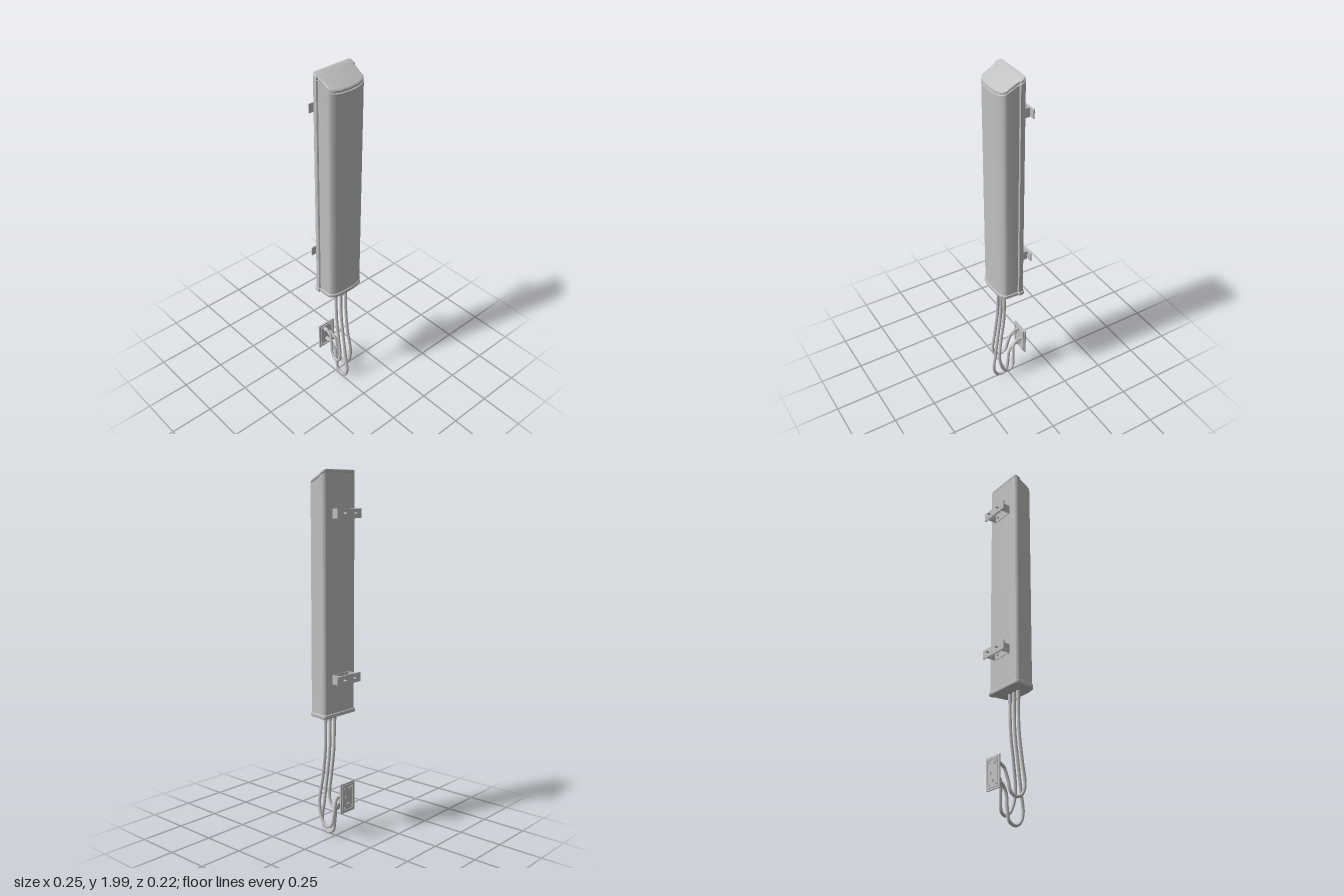
import * as THREE from 'three';
import { toCreasedNormals } from 'three/addons/utils/BufferGeometryUtils.js';

const SLOPE = 0.5, BACK = -0.034;

// D-shaped cross-section with a wider back tray; "grow" widens it all round
function outline(grow) {
  const g = grow, s = new THREE.Shape();
  const half = 0.121 + g, front = 0.113 + g, back = BACK + 0.002 - g, nose = 0.102 + g;
  // shape y is -z
  s.moveTo(0, -nose);
  s.quadraticCurveTo(0.05, -nose, 0.078, -nose + 0.008);
  s.quadraticCurveTo(front - 0.006, -nose + 0.016, front - 0.003, -0.068);
  s.lineTo(front, -0.004);
  s.lineTo(half, 0);
  s.lineTo(half, -back - 0.02);
  s.quadraticCurveTo(half, -back, half - 0.02, -back);
  s.lineTo(-half + 0.02, -back);
  s.quadraticCurveTo(-half, -back, -half, -back - 0.02);
  s.lineTo(-half, 0);
  s.lineTo(-front, -0.004);
  s.lineTo(-front + 0.003, -0.068);
  s.quadraticCurveTo(-front + 0.006, -nose + 0.016, -0.078, -nose + 0.008);
  s.quadraticCurveTo(-0.05, -nose, 0, -nose);
  return s;
}

// Upright prism of the cross-section; vertices above shearFrom follow the sloped top
function prism(grow, y0, y1, bevel, shearFrom) {
  const geo = new THREE.ExtrudeGeometry(outline(grow), {
    depth: y1 - y0 - 2 * bevel, curveSegments: 8,
    bevelEnabled: bevel > 0, bevelSize: bevel, bevelThickness: bevel, bevelOffset: -bevel, bevelSegments: 3,
  });
  geo.rotateX(-Math.PI / 2).translate(0, y0 + bevel, 0);
  const p = geo.attributes.position;
  for (let i = 0; i < p.count; i++)
    if (p.getY(i) > shearFrom) p.setY(i, p.getY(i) - SLOPE * (p.getZ(i) - BACK));
  return toCreasedNormals(geo, 0.6);
}

export function createModel() {
  const grey = new THREE.MeshStandardMaterial({ color: 0xc0c0c0 });
  grey.name = 'light grey';
  const model = new THREE.Group();
  model.name = 'panelAntenna';

  const add = (parent, name, geo, x = 0, y = 0, z = 0) => {
    const m = new THREE.Mesh(geo, grey);
    m.name = name;
    m.position.set(x, y, z);
    parent.add(m);
    return m;
  };
  const box = (parent, name, w, h, d, x, y, z) => add(parent, name, new THREE.BoxGeometry(w, h, d), x, y, z);
  const rod = (parent, name, r, len, x, y, z, sides = 16) =>
    add(parent, name, new THREE.CylinderGeometry(r, r, len, sides).rotateX(Math.PI / 2), x, y, z);

  // Housing with sloped top and bottom rim
  add(model, 'housing', prism(0, 0.715, 1.98, 0, 1.5));
  add(model, 'topCap', prism(-0.001, 1.98, 2.0, 0.008, 1.5));
  add(model, 'bottomCap', prism(0.005, 0.7, 0.722, 0.004, 9));

  // Two mounting brackets on the back
  for (const y of [1.775, 0.91]) {
    const bracket = new THREE.Group();
    bracket.name = 'mountBracket';
    bracket.position.y = y;
    model.add(bracket);
    for (const s of [-1, 1]) {
      box(bracket, 'bracketSide', 0.003, 0.05, 0.05, s * 0.063, 0, -0.059);
      rod(bracket, 'bodyBolt', 0.009, 0.008, s * 0.04, 0, -0.04, 6);
      rod(bracket, 'clampBolt', 0.005, 0.034, s * 0.04, 0, -0.096);
    }
    box(bracket, 'bracketBase', 0.129, 0.05, 0.003, 0, 0, -0.0355);
    box(bracket, 'bracketFace', 0.129, 0.05, 0.003, 0, 0, -0.0835);
    box(bracket, 'clampPlate', 0.184, 0.05, 0.006, 0, 0, -0.092);
  }

  // Cable plate: base sheet, raised rim, screws
  const plate = new THREE.Group();
  plate.name = 'cablePlate';
  plate.position.set(0.002, 0.25, 0);
  model.add(plate);
  box(plate, 'plateSheet', 0.112, 0.168, 0.008, 0, 0, -0.086);
  const rim = new THREE.Shape([[-0.046, -0.075], [0.046, -0.075], [0.046, 0.075], [-0.046, 0.075]]
    .map(([x, y]) => new THREE.Vector2(x, y)));
  rim.holes.push(new THREE.Path([[-0.038, -0.067], [-0.038, 0.067], [0.038, 0.067], [0.038, -0.067]]
    .map(([x, y]) => new THREE.Vector2(x, y))));
  const rimGeo = new THREE.ExtrudeGeometry(rim, { depth: 0.006, bevelEnabled: false });
  add(plate, 'frontRim', rimGeo, 0, 0, -0.082);
  add(plate, 'backRim', rimGeo, 0, 0, -0.094);
  for (const sx of [-1, 1]) for (const sy of [-1, 1])
    rod(plate, 'plateScrew', 0.005, 0.016, sx * 0.03, sy * 0.057, -0.086, 12);

  // Three looping cables: top x, then points down and round to the plate
  const cables = [
    [-0.035, [[-0.036, 0.2, 0.08], [-0.033, 0.155, 0.06], [-0.03, 0.145, 0.025], [-0.026, 0.165, 0],
      [-0.02, 0.23, -0.015], [-0.015, 0.285, -0.035], [-0.015, 0.3, -0.06]]],
    [0, [[0.002, 0.18, 0.085], [0.004, 0.075, 0.098], [0.005, 0.025, 0.08], [0.006, 0.01, 0.05],
      [0.006, 0.028, 0.015], [0.006, 0.09, 0.002], [0.004, 0.17, -0.008], [0.001, 0.207, -0.035], [0, 0.213, -0.06]]],
    [0.036, [[0.044, 0.2, 0.082], [0.047, 0.12, 0.07], [0.047, 0.075, 0.045], [0.046, 0.062, 0.015],
      [0.042, 0.08, -0.008], [0.034, 0.15, -0.018], [0.025, 0.225, -0.026], [0.021, 0.25, -0.045], [0.02, 0.252, -0.06]]],
  ];
  for (const [x, pts] of cables) {
    const end = pts[pts.length - 1];
    const path = new THREE.CatmullRomCurve3([[x, 0.7, 0.043], [x, 0.6, 0.043], [x, 0.48, 0.047],
      [x, 0.34, 0.064], ...pts, [end[0], end[1], -0.085]].map(p => new THREE.Vector3(...p)));
    add(model, 'cable', new THREE.TubeGeometry(path, 120, 0.0085, 12));
    add(model, 'cableGland', new THREE.CylinderGeometry(0.011, 0.011, 0.045, 16), x, 0.679, 0.043);
    rod(model, 'plateSocket', 0.0115, 0.03, end[0], end[1], -0.07);
    rod(model, 'socketBack', 0.008, 0.014, end[0], end[1], -0.089);
  }
  return model;
}
